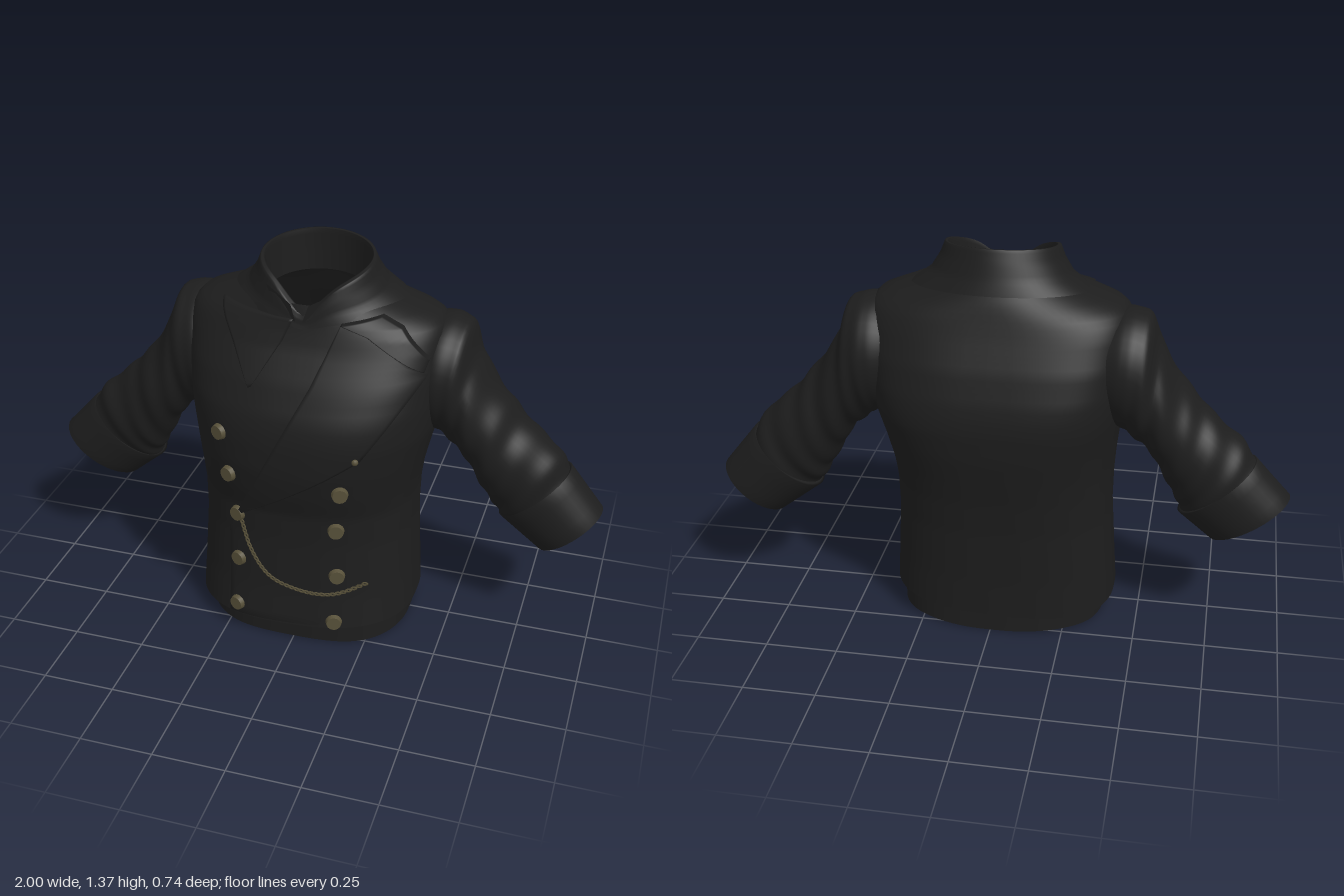
import * as THREE from 'three';

const cloth = new THREE.MeshStandardMaterial({ color: 0x1d1d1d, side: THREE.DoubleSide });
cloth.name = 'black wool';
const brass = new THREE.MeshStandardMaterial({ color: 0x575039, side: THREE.DoubleSide });
brass.name = 'dull brass';

// Torso cross-sections: height, half width, front z, back z, front and back squareness, centre x
const SECTIONS = [
  [0.07, 0.395, 0.325, -0.298, 2.5, 2.6, -0.015],
  [0.20, 0.387, 0.308, -0.300, 2.5, 2.6, -0.015],
  [0.40, 0.375, 0.300, -0.312, 2.5, 2.6, -0.015],
  [0.52, 0.377, 0.305, -0.327, 2.5, 2.6, -0.015],
  [0.60, 0.385, 0.328, -0.342, 2.45, 2.6, -0.012],
  [0.70, 0.402, 0.347, -0.360, 2.4, 2.7, -0.006],
  [0.80, 0.422, 0.348, -0.369, 2.4, 2.9, 0],
  [0.85, 0.428, 0.342, -0.365, 2.4, 3.0, 0],
  [0.90, 0.432, 0.328, -0.355, 2.45, 3.1, 0],
  [1.00, 0.440, 0.276, -0.322, 2.5, 3.1, 0],
  [1.10, 0.442, 0.208, -0.276, 2.5, 2.9, 0],
  [1.15, 0.436, 0.185, -0.255, 2.3, 2.6, 0],
  [1.18, 0.405, 0.174, -0.243, 2.1, 2.2, 0],
  [1.21, 0.320, 0.165, -0.230, 2.0, 2.0, 0],
  [1.235, 0.250, 0.155, -0.215, 2.0, 2.0, 0],
];

function sectionAt(y) {
  let i = 0;
  while (i < SECTIONS.length - 2 && y > SECTIONS[i + 1][0]) i++;
  const a = SECTIONS[i], b = SECTIONS[i + 1];
  const t = THREE.MathUtils.clamp((y - a[0]) / (b[0] - a[0]), 0, 1);
  return a.map((v, k) => v + (b[k] - v) * t);
}

// Rounded-square ring point
function ringPoint(angle, halfW, zf, zb, nf, nb, cx = 0) {
  const c = Math.cos(angle), s = Math.sin(angle), e = 2 / (s > 0 ? nf : nb);
  return [cx + halfW * Math.sign(c) * Math.abs(c) ** e,
    (zf + zb) / 2 + ((zf - zb) / 2) * Math.sign(s) * Math.abs(s) ** e];
}

// Front surface of the torso at x, y
function frontZ(x, y) {
  const [, w, zf, zb, n, , cx] = sectionAt(y);
  const r = Math.min(1, Math.abs((x - cx) / w));
  return (zf + zb) / 2 + ((zf - zb) / 2) * (1 - r ** n) ** (1 / n);
}

// Grid surface from fn(u, v), optionally closed around u
function surface(name, cols, rows, closed, fn) {
  const pos = [], idx = [], n = closed ? cols : cols + 1;
  for (let j = 0; j <= rows; j++)
    for (let i = 0; i < n; i++) pos.push(...fn(i / cols, j / rows));
  for (let j = 0; j < rows; j++)
    for (let i = 0; i < cols; i++) {
      const a = j * n + i, b = j * n + (i + 1) % n;
      idx.push(a, a + n, b, b, a + n, b + n);
    }
  const g = new THREE.BufferGeometry();
  g.setAttribute('position', new THREE.Float32BufferAttribute(pos, 3));
  g.setIndex(idx);
  g.computeVertexNormals();
  const mesh = new THREE.Mesh(g, cloth);
  mesh.name = name;
  return mesh;
}

function along(points, t) {
  const f = t * (points.length - 1), i = Math.min(points.length - 2, Math.floor(f));
  return points[i].map((v, k) => v + (points[i + 1][k] - v) * (f - i));
}

// Cloth panel laid over the chest between two edges, its rim turned in;
// the lift runs from the first edge to the second
function panel(name, left, right, liftA, liftB = liftA) {
  const N = 26;
  return surface(name, N, N, false, (u, v) => {
    const inner = (t) => THREE.MathUtils.clamp((t * N - 1) / (N - 2), 0, 1);
    const rim = u === 0 || u === 1 || v === 0 || v === 1;
    const a = along(left, inner(v)), b = along(right, inner(v)), s = inner(u);
    const x = a[0] + (b[0] - a[0]) * s, y = a[1] + (b[1] - a[1]) * s;
    return [x, y, frontZ(x, y) + (rim ? -0.003 : liftA + (liftB - liftA) * s)];
  });
}

// Sleeve edges: outer line with front z, inner line with back z
const curve = (pts) => new THREE.CatmullRomCurve3(pts.map((p) => new THREE.Vector3(...p)));
const OUTER = curve([[0.37, 1.15, 0.10], [0.43, 1.165, 0.118], [0.50, 1.148, 0.11], [0.55, 1.03, 0.10],
  [0.64, 0.895, 0.09], [0.72, 0.805, 0.075], [0.82, 0.715, 0.06], [0.885, 0.62, 0.045]]);
const INNER = curve([[0.37, 0.78, -0.245], [0.40, 0.76, -0.258], [0.44, 0.735, -0.255], [0.50, 0.685, -0.235],
  [0.55, 0.61, -0.22], [0.60, 0.52, -0.212], [0.635, 0.462, -0.205], [0.675, 0.42, -0.2]]);
const CUFF_OUTER = [[0.86, 0.61, 0.035], [0.88, 0.64, 0.05], [1.0, 0.49, 0.042], [0.985, 0.483, 0.03], [0.93, 0.54, 0.02]];
const CUFF_INNER = [[0.67, 0.46, -0.195], [0.645, 0.432, -0.21], [0.79, 0.32, -0.2], [0.803, 0.335, -0.185], [0.74, 0.40, -0.175]];

function tubePoint(o, i, angle, side, k = 1) {
  const c = Math.cos(angle) * k, s = Math.sin(angle) * k;
  const x = (o[0] + i[0]) / 2 + ((o[0] - i[0]) / 2) * c;
  const y = (o[1] + i[1]) / 2 + ((o[1] - i[1]) / 2) * c;
  const z = (o[2] + i[2]) / 2 + ((o[2] - i[2]) / 2) * s;
  // the right arm is bent a little higher, with a wider cuff
  const bend = side < 0 ? THREE.MathUtils.clamp((0.75 - (o[1] + i[1]) / 2) / 0.35, 0, 1) ** 2 : 0;
  return [side * (x - bend * 0.028 * (1 - c)), y + bend * 0.033, z];
}

function sleeve(side) {
  const g = new THREE.Group();
  g.name = side > 0 ? 'leftSleeve' : 'rightSleeve';
  const phase = side > 0 ? 0 : 1.3;
  g.add(surface('sleeveTube', 40, 64, true, (u, v) => {
    const a = u * Math.PI * 2;
    // uneven soft creases, fading at the shoulder
    const fade = THREE.MathUtils.smoothstep(v, 0.12, 0.4);
    const fold = fade * (0.024 * Math.sin(v * 42 + phase + 1.8 * Math.sin(a + 0.6))
      + 0.012 * Math.sin(v * 23 - phase + a * 2));
    return tubePoint(OUTER.getPoint(v).toArray(), INNER.getPoint(v).toArray(), a, side, 1 + fold);
  }));
  g.add(surface('cuff', 36, 16, true, (u, v) =>
    tubePoint(along(CUFF_OUTER, v), along(CUFF_INNER, v), u * Math.PI * 2, side)));
  return g;
}

export function createModel() {
  const model = new THREE.Group();
  model.name = 'jacket';
  const TAU = Math.PI * 2;

  // Body, turned hem and the layer showing below it
  model.add(surface('body', 80, 60, true, (u, v) => {
    const y = 0.07 + 1.165 * v;
    const [x, z] = ringPoint(u * TAU, ...sectionAt(y).slice(1));
    return [x, y + 0.015 * (x / 0.4 + 0.3) * (1 - v) ** 8, z];
  }));
  model.add(surface('hem', 80, 2, true, (u, v) => {
    const [, w, zf, zb, nf, nb, cx] = SECTIONS[0], k = 1 - 0.08 * v;
    const [x, z] = ringPoint(u * TAU, w * k, zf * k, zb * k, nf, nb, cx);
    return [x, 0.07 + 0.015 * (x / 0.4 + 0.3), z];
  }));
  model.add(surface('underLayer', 80, 6, true, (u, v) => {
    const [x, z] = ringPoint(u * TAU, 0.365, 0.30, -0.28 + 0.01 * v, 2.5, 2.6, -0.01);
    return [x, v * 0.22 + 0.003 * (1 - v) * (1 + Math.sin(u * TAU * 5)), z];
  }));

  // Collar: up the inside of the neck, over the sloping top, down to the shoulders
  const COLLAR = [
    [0.172, 0.135, -0.165, 0], [0.176, 0.140, -0.167, 0.5], [0.180, 0.145, -0.168, 1],
    [0.192, 0.165, -0.178, 1], [0.208, 0.174, -0.196, 0.7], [0.238, 0.178, -0.215, 0.35], [0.305, 0.184, -0.236, 0],
  ];
  model.add(surface('collar', 64, 24, true, (u, v) => {
    const [w, zf, zb, h] = along(COLLAR, v);
    const [x, z] = ringPoint(u * TAU, w, zf, zb, 2, 2);
    const dip = z > 0 ? 0.08 * Math.exp(-((x / 0.075) ** 2)) : 0;
    const low = 1.207 - 0.12 * z - dip * 0.3;
    const top = 1.345 - 0.16 * z - 1.2 * Math.max(0, z) ** 2 - dip;
    return [x, low + (top - low) * h, z];
  }));
  for (const s of [-1, 1])
    model.add(surface('collarPoint', 4, 4, false, (u, v) => {
      const a = along([[0.125, 1.285], [0.07, 1.18]], v), b = along([[0.03, 1.24], [0.012, 1.185]], v);
      const x = a[0] + (b[0] - a[0]) * u, y = a[1] + (b[1] - a[1]) * u;
      return [s * x - 0.01, y, 0.184 - x * 0.4];
    }));

  // Overlapping front, lapel and collar flaps
  model.add(panel('frontOverlap', [[-0.235, 0.075], [-0.235, 0.42], [-0.19, 0.5]],
    [[0.24, 0.09], [0.24, 0.45], [0.24, 0.85]], 0.01, -0.003));
  model.add(panel('leftLapel', [[-0.2, 0.49], [-0.05, 0.79], [0.06, 1.01], [0.13, 1.19]],
    [[-0.19, 0.49], [0.24, 0.785], [0.41, 1.03], [0.2, 1.19]], 0.02));
  model.add(panel('leftCollarFlap', [[0.13, 1.19], [0.22, 1.16], [0.40, 1.045]],
    [[0.25, 1.21], [0.32, 1.18], [0.41, 1.08]], 0.025));
  model.add(panel('rightCollarFlap', [[-0.3, 1.2], [-0.23, 1.1], [-0.15, 0.98]],
    [[-0.03, 1.19], [-0.06, 1.12], [-0.14, 0.985]], 0.014));

  for (const s of [-1, 1]) model.add(sleeve(s));

  // Two rows of flat-faced buttons
  const disc = new THREE.CylinderGeometry(0.025, 0.029, 0.016, 20).rotateX(Math.PI / 2);
  const buttons = [[-0.25, 0.81], [-0.22, 0.655], [-0.2, 0.485], [-0.2, 0.3], [-0.205, 0.115],
    [0.175, 0.645], [0.155, 0.48], [0.16, 0.295], [0.155, 0.11]];
  for (const [x, y] of buttons) {
    const b = new THREE.Mesh(disc, brass);
    b.name = 'button';
    b.position.set(x, y, frontZ(x, y) + 0.014);
    b.rotation.y = x * 1.8;
    model.add(b);
  }
  const stud = new THREE.Mesh(new THREE.SphereGeometry(0.012, 10, 8), brass);
  stud.name = 'lapelStud';
  stud.position.set(0.225, 0.785, frontZ(0.225, 0.785) + 0.018);
  model.add(stud);

  // Watch chain of flat links
  const path = curve([[-0.185, 0.475, 0], [-0.15, 0.36, 0], [-0.08, 0.265, 0], [0.02, 0.228, 0], [0.14, 0.222, 0], [0.25, 0.26, 0]]);
  const link = new THREE.TorusGeometry(0.005, 0.0034, 6, 12).scale(1.6, 1, 0.8);
  const chain = new THREE.Group();
  chain.name = 'watchChain';
  for (let i = 0; i <= 32; i++) {
    const p = path.getPointAt(i / 32), t = path.getTangentAt(i / 32);
    const m = new THREE.Mesh(link, brass);
    m.name = 'chainLink';
    m.position.set(p.x, p.y, frontZ(p.x, p.y) + 0.014);
    m.rotation.z = Math.atan2(t.y, t.x);
    chain.add(m);
  }
  model.add(chain);
  return model;
}
